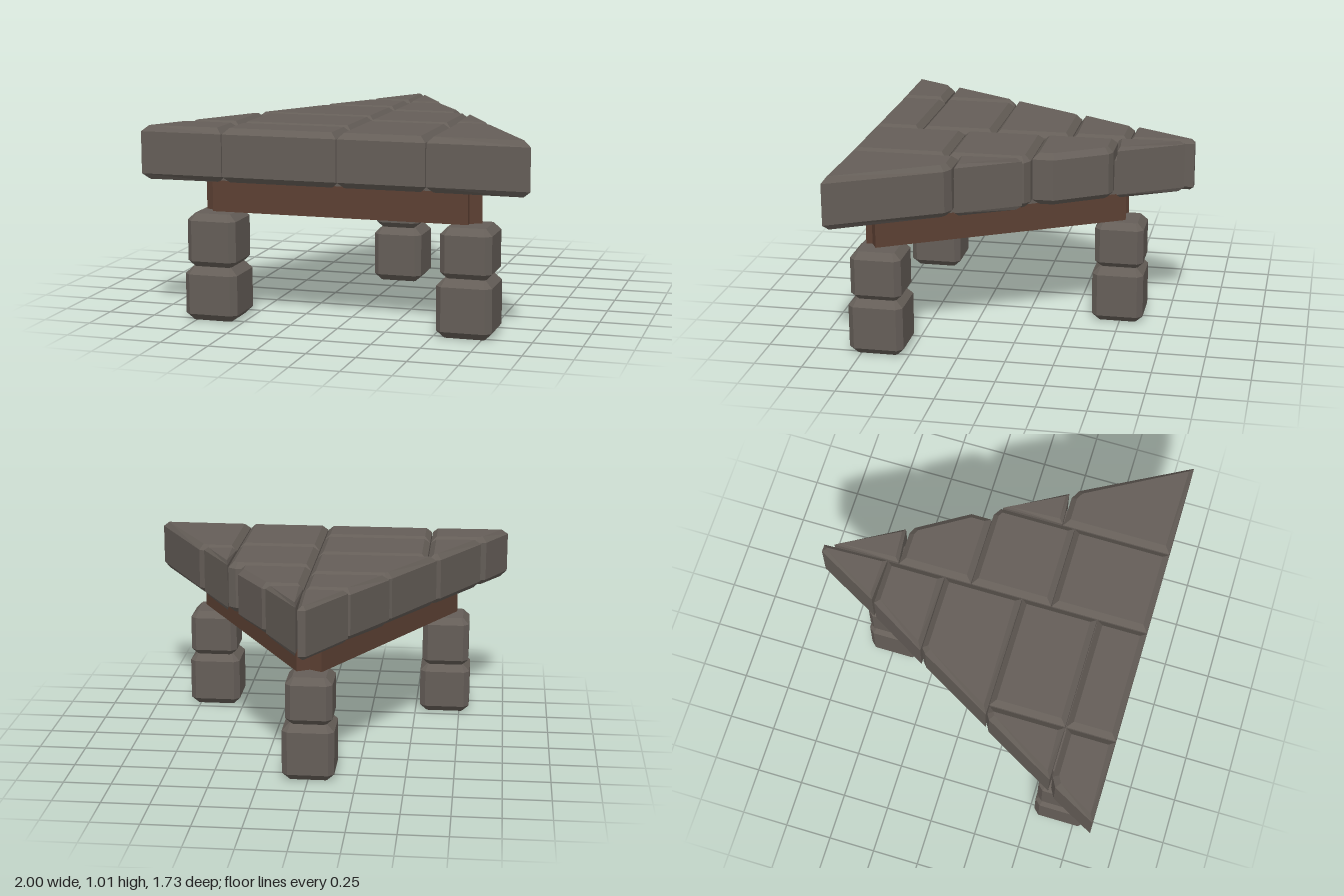
import * as THREE from 'three';

const stone = new THREE.MeshStandardMaterial({ color: 0x655e58 });
stone.name = 'stone';
const wood = new THREE.MeshStandardMaterial({ color: 0x5c4033 });
wood.name = 'wood';

// Chamfered block: outline in [x, z], between heights y0 and y1
function block(name, outline, y0, y1, bevel) {
  const shape = new THREE.Shape(outline.map(([x, z]) => new THREE.Vector2(x, z)));
  const geo = new THREE.ExtrudeGeometry(shape, {
    depth: y1 - y0 - 2 * bevel, bevelEnabled: bevel > 0, bevelThickness: bevel,
    bevelSize: bevel, bevelOffset: -bevel, bevelSegments: 1, steps: 1,
  });
  geo.rotateX(Math.PI / 2);
  geo.translate(0, y1 - bevel, 0);
  const mesh = new THREE.Mesh(geo, stone);
  mesh.name = name;
  return mesh;
}

// Rectangle with cut corners
function cutRect(x0, x1, z0, z1, c) {
  return [[x0 + c, z0], [x1 - c, z0], [x1, z0 + c], [x1, z1 - c],
    [x1 - c, z1], [x0 + c, z1], [x0, z1 - c], [x0, z0 + c]];
}

// Wooden beam between two floor points
function beam(name, ax, az, bx, bz, width) {
  const len = Math.hypot(bx - ax, bz - az);
  const mesh = new THREE.Mesh(new THREE.BoxGeometry(len, 0.172, width), wood);
  mesh.position.set((ax + bx) / 2, 0.651, (az + bz) / 2);
  mesh.rotation.y = -Math.atan2(bz - az, bx - ax);
  mesh.name = name;
  return mesh;
}

export function createModel() {
  const model = new THREE.Group();
  model.name = 'triangularStoneTable';

  // Table top: fitted slabs, [bevel, outline]
  const top = new THREE.Group();
  top.name = 'tableTop';
  const slabs = [
    // left of the centre seam, back to front
    [0.02, [[-0.02, -0.87], [0.02, -0.87], [0.03, -0.53], [-0.2, -0.54]]],
    [0.03, [[-0.21, -0.525], [0.03, -0.525], [0.03, -0.22], [-0.388, -0.22]]],
    [0.03, [[-0.37, -0.215], [0.03, -0.215], [0.03, 0.197], [-0.617, 0.197], [-0.4, -0.19]]],
    [0.03, [[-0.565, 0.2], [0.03, 0.2], [0.03, 0.597], [-0.565, 0.597]]],
    [0.03, [[-0.61, 0.203], [-0.57, 0.203], [-0.57, 0.597], [-0.85, 0.597], [-0.64, 0.22]]],
    [0.03, [[-0.565, 0.602], [0.03, 0.602], [0.03, 0.86], [-0.565, 0.86]]],
    [0.03, [[-0.83, 0.608], [-0.57, 0.608], [-0.57, 0.86], [-1, 0.86], [-0.88, 0.635]]],
    // right of the centre seam, back to front
    [0.02, [[0.035, -0.82], [0.225, -0.49], [0.035, -0.47]]],
    [0.03, [[0.035, -0.468], [0.21, -0.468], [0.25, -0.45], [0.41, -0.19], [0.41, -0.08], [0.035, -0.08]]],
    [0.03, [[0.035, -0.077], [0.44, -0.077], [0.483, -0.05], [0.483, 0.35], [0.035, 0.35]]],
    [0.03, [[0.035, 0.353], [0.483, 0.353], [0.483, 0.86], [0.035, 0.86]]],
    [0.02, [[0.488, -0.04], [0.665, 0.27], [0.488, 0.283]]],
    [0.03, [[0.488, 0.287], [0.65, 0.287], [0.7, 0.315], [1, 0.86], [0.488, 0.86]]],
  ];
  slabs.forEach(([bevel, outline], i) => top.add(block('slab' + (i + 1), outline, 0.735, 1.01, bevel)));
  // Core that closes the seams
  top.add(block('slabCore', [[0, -0.75], [0.9, 0.8], [-0.9, 0.8]], 0.737, 0.92, 0));
  model.add(top);

  // Frame of three beams
  const frame = new THREE.Group();
  frame.name = 'frame';
  frame.add(beam('frontBeam', -0.667, 0.683, 0.667, 0.683, 0.104));
  for (const s of [-1, 1]) {
    frame.add(beam(s > 0 ? 'leftBeam' : 'rightBeam', s * 0.68, 0.695, s * 0.02, -0.495, 0.102));
  }
  model.add(frame);

  // Legs of two stacked stones: [name, lower x range, upper x range, lower z, upper z, joint height]
  const legs = [
    ['rightFrontLeg', [-0.805, -0.525], [-0.795, -0.535], [0.525, 0.81], [0.53, 0.795], 0.275],
    ['leftFrontLeg', [0.52, 0.803], [0.535, 0.797], [0.525, 0.81], [0.53, 0.795], 0.295],
    ['backLeg', [-0.137, 0.135], [-0.127, 0.117], [-0.625, -0.35], [-0.62, -0.36], 0.3],
  ];
  for (const [name, lx, ux, lz, uz, joint] of legs) {
    const leg = new THREE.Group();
    leg.name = name;
    leg.add(block('lowerStone', cutRect(...lx, ...lz, 0.03), 0, joint + 0.005, 0.037));
    leg.add(block('upperStone', cutRect(...ux, ...uz, 0.03), joint, 0.555, 0.035));
    model.add(leg);
  }
  return model;
}
